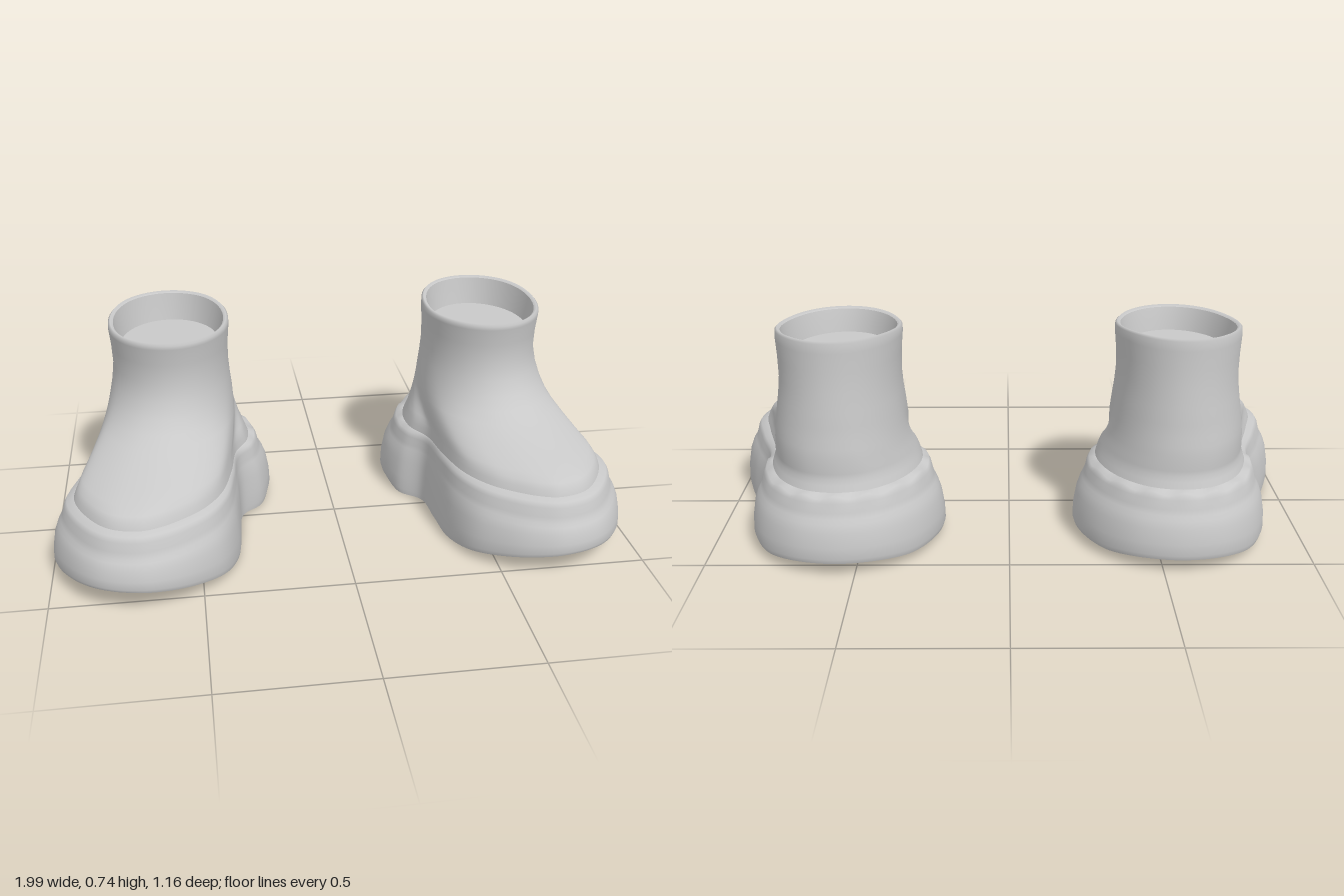
import * as THREE from 'three';

// Footprint control points [x, z, inset weight]: toe, outer side, heel, inner side
const FOOTPRINT = [
  [0.70, 0.57, 1], [0.83, 0.53, 1], [0.93, 0.42, 1], [0.995, 0.24, 1], [0.945, 0.04, 0.9],
  [0.868, -0.13, 0.6], [0.88, -0.26, 0.9], [0.82, -0.43, 1], [0.70, -0.54, 1], [0.55, -0.573, 1],
  [0.40, -0.53, 1], [0.28, -0.41, 1], [0.222, -0.24, 0.95], [0.255, -0.09, 0.7], [0.335, -0.015, 0.25],
  [0.353, 0.12, 0.3], [0.37, 0.28, 0.6], [0.42, 0.41, 0.9], [0.51, 0.50, 1], [0.60, 0.55, 1],
];
const COUNT = FOOTPRINT.length;
const N = 160;
const { smoothstep, lerp, clamp } = THREE.MathUtils;

// Footprint control points moved inward by a distance
function insetFootprint(d) {
  return FOOTPRINT.map(([x, z, w], i) => {
    const a = FOOTPRINT[(i + COUNT - 1) % COUNT], b = FOOTPRINT[(i + 1) % COUNT];
    const tx = b[0] - a[0], tz = b[1] - a[1], len = Math.hypot(tx, tz);
    return [x + (tz / len) * d * w, z - (tx / len) * d * w];
  });
}

// Ankle ellipse with points matching the footprint's
function ellipse(cx, cz, rx, rz) {
  return FOOTPRINT.map((_, i) => {
    const a = ((i + 0.5) / COUNT) * Math.PI * 2;
    return [cx + Math.sin(a) * rx, cz + Math.cos(a) * rz];
  });
}

// Smooth closed ring, sampled symmetrically about the toe-heel line; height(x, z) gives y
function ring(points, height) {
  const curve = new THREE.CatmullRomCurve3(points.map(([x, z]) => new THREE.Vector3(x, 0, z)), true);
  return Array.from({ length: N }, (_, j) => {
    const p = curve.getPoint(((j + 0.5) / N - 0.5 / COUNT + 1) % 1);
    p.y = height(p.x, p.z, j);
    return p;
  });
}

function toGeometry(points, index) {
  const g = new THREE.BufferGeometry();
  g.setAttribute('position', new THREE.Float32BufferAttribute(points.flatMap((p) => [p.x, p.y, p.z]), 3));
  g.setIndex(index);
  g.computeVertexNormals();
  return g;
}

// Wall through a list of rings
function loft(rings) {
  const index = [];
  for (let r = 0; r < rings.length - 1; r++) {
    for (let j = 0; j < N; j++) {
      const a = r * N + j, b = r * N + ((j + 1) % N);
      index.push(a, b, b + N, a, b + N, a + N);
    }
  }
  return toGeometry(rings.flat(), index);
}

// Fill a ring with strips running from the outer to the inner side
function cap(points, up) {
  const index = [];
  for (let j = 0; j < N / 2 - 1; j++) {
    const a = j, b = j + 1, c = N - 2 - j, d = N - 1 - j;
    if (up) index.push(a, b, c, a, c, d);
    else index.push(a, c, b, a, d, c);
  }
  return toGeometry(points, index);
}

// Underside: rolled-up toe, flat ball, slightly raised heel
function underside(x, z) {
  const u = z + 0.3 * (x - 0.7);
  const toe = 0.082 * Math.pow(clamp((u - 0.12) / 0.45, 0, 1), 1.4);
  const heel = 0.028 * smoothstep(-z, 0.06, 0.19) + 0.018 * smoothstep(-z, 0.44, 0.58);
  return 0.005 + toe + heel;
}

function soleRings() {
  // [inset, height as a share of the side wall]
  const wall = [[0.006, 0], [0, 0.12], [0.002, 0.4], [0.012, 0.75], [0.024, 0.95], [0.034, 1.05]];
  const rings = wall.map(([d, f]) =>
    ring(insetFootprint(d), (x, z) => lerp(underside(x, z), 0.185, f)));
  // stepped welt with a scalloped heel edge
  const welt = [[0.042, 0.21], [0.05, 0.24], [0.06, 0.256], [0.085, 0.264]];
  welt.forEach(([d, y], i) => rings.push(ring(insetFootprint(d), (x, z, j) =>
    y + (i === 2 ? 0.006 : 0) * smoothstep(-z, 0.1, 0.2) * Math.sin((j / N) * Math.PI * 48))));
  return rings;
}

const rimHeight = (y) => (x, z) => y + 0.018 * smoothstep(-z, 0.05, 0.38);

function upperRings() {
  // [y, inset, blend to ankle, ankle centre z, half width, half depth]
  const rows = [
    [0.264, 0.085, 0, -0.2, 0.23, 0.275], [0.285, 0.093, 0, -0.2, 0.23, 0.275],
    [0.303, 0.1, 0.02, -0.2, 0.23, 0.275], [0.32, 0.1, 0.11, -0.2, 0.23, 0.275],
    [0.34, 0.1, 0.27, -0.2, 0.23, 0.275], [0.37, 0.1, 0.48, -0.2, 0.228, 0.272],
    [0.40, 0.1, 0.67, -0.197, 0.225, 0.27], [0.43, 0.1, 0.79, -0.195, 0.22, 0.265],
    [0.47, 0.1, 0.89, -0.193, 0.215, 0.262], [0.52, 0.1, 0.96, -0.19, 0.208, 0.26],
    [0.58, 0.1, 1, -0.186, 0.203, 0.255], [0.65, 0.1, 1, -0.182, 0.205, 0.253],
    [0.71, 0.1, 1, -0.175, 0.21, 0.257],
  ];
  const rings = rows.map(([y, d, t, cz, rx, rz]) => {
    const e = ellipse(0.565, cz, rx, rz);
    const mix = insetFootprint(d).map(([x, z], i) => [lerp(x, e[i][0], t), lerp(z, e[i][1], t)]);
    return ring(mix, () => y);
  });
  // rolled rim
  rings.push(ring(ellipse(0.565, -0.174, 0.209, 0.257), rimHeight(0.724)));
  rings.push(ring(ellipse(0.565, -0.174, 0.202, 0.25), rimHeight(0.731)));
  rings.push(ring(ellipse(0.565, -0.174, 0.192, 0.24), rimHeight(0.724)));
  return rings;
}

function liningRings() {
  return [
    ring(ellipse(0.565, -0.174, 0.192, 0.24), rimHeight(0.724)),
    ring(ellipse(0.565, -0.174, 0.183, 0.23), () => 0.69),
    ring(ellipse(0.565, -0.174, 0.172, 0.22), () => 0.645),
  ];
}

export function createModel() {
  const grey = new THREE.MeshStandardMaterial({ color: 0xc8c8c8 });
  grey.name = 'plain grey';
  const model = new THREE.Group();
  model.name = 'bootPair';
  const sole = soleRings(), upper = upperRings(), lining = liningRings();

  for (const side of [1, -1]) {
    const boot = new THREE.Group();
    boot.name = side > 0 ? 'leftBoot' : 'rightBoot';
    // mirrored rings are reversed so that faces keep pointing outward
    const flip = (r) => side > 0 ? r
      : r.map((p) => new THREE.Vector3(-p.x, p.y, p.z)).reverse();
    const add = (name, geometry) => {
      const mesh = new THREE.Mesh(geometry, grey);
      mesh.name = name;
      boot.add(mesh);
    };
    add('sole', loft(sole.map(flip)));
    add('soleUnderside', cap(flip(sole[0]), false));
    add('upper', loft(upper.map(flip)));
    add('lining', loft(lining.map(flip)));
    add('insole', cap(flip(lining[lining.length - 1]), true));
    boot.position.z = -0.01 * side;
    model.add(boot);
  }
  return model;
}
